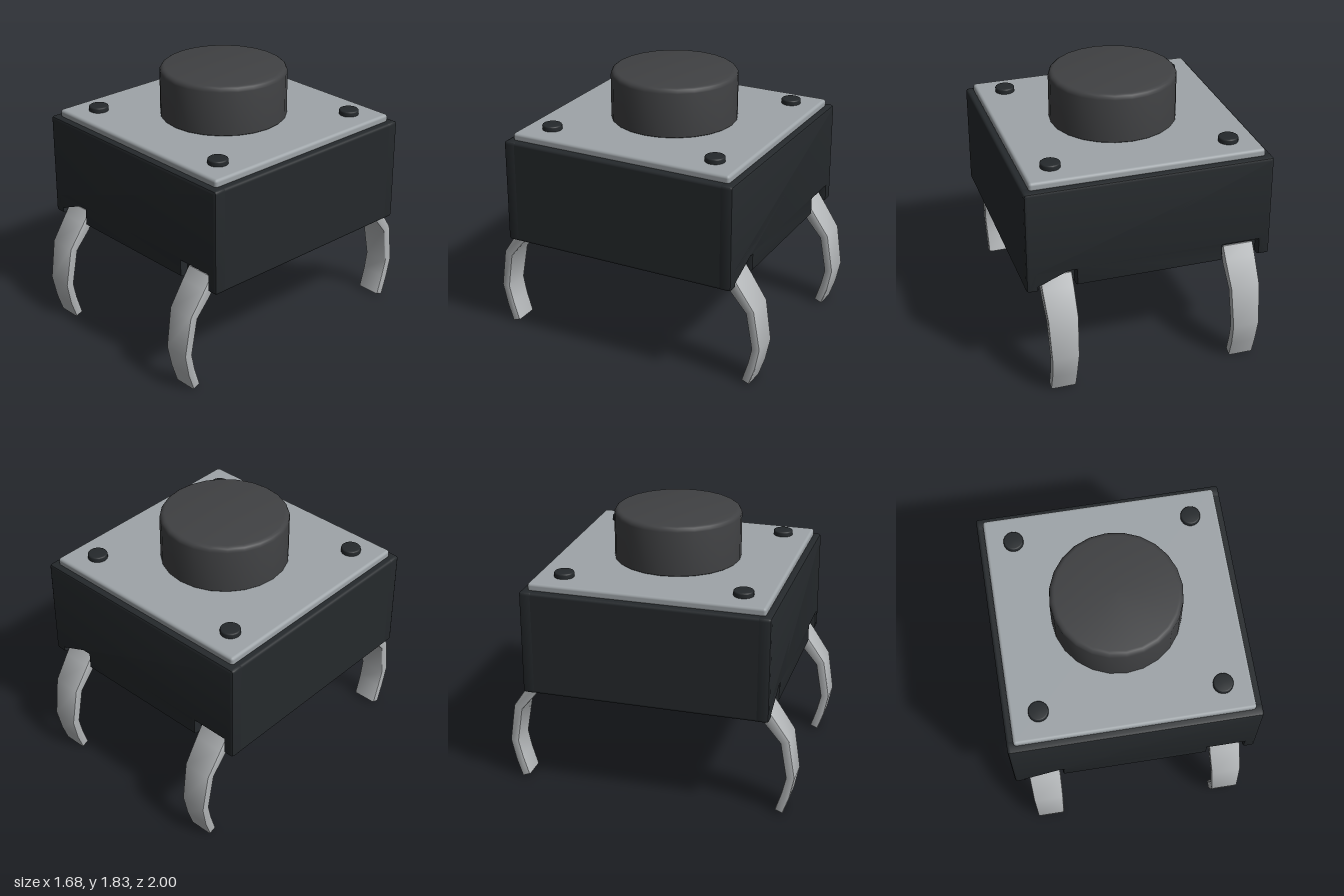
import * as THREE from 'three';
import { toCreasedNormals } from 'three/addons/utils/BufferGeometryUtils.js';
import { RoundedBoxGeometry } from 'three/addons/geometries/RoundedBoxGeometry.js';

const paint = (color) => new THREE.MeshStandardMaterial({ color });
const points = (list) => list.map(([x, y]) => new THREE.Vector2(x, y));

function add(parent, name, geometry, material, x = 0, y = 0, z = 0) {
  const mesh = new THREE.Mesh(geometry, material);
  mesh.name = name;
  mesh.position.set(x, y, z);
  parent.add(mesh);
  return mesh;
}

// Extrusion centred on its depth, bevelled without growing the outline
function bevelled(shape, depth, bevel, steps = 2) {
  const geometry = new THREE.ExtrudeGeometry(shape, {
    depth: depth - 2 * bevel, bevelThickness: bevel, bevelSize: bevel,
    bevelOffset: -bevel, bevelSegments: steps, curveSegments: 4,
  });
  return geometry.translate(0, 0, bevel - depth / 2);
}

// Front wall of the housing, with a notch above each leg
function wallGeometry() {
  const w = 0.84, lo = 0.72, hi = 1.44, r = 0.02, top = 0.835, a = 0.505, b = 0.76;
  const s = new THREE.Shape();
  s.moveTo(-w + r, lo);
  for (const [x0, x1] of [[-b, -a], [a, b]]) {
    s.lineTo(x0, lo);
    s.lineTo(x0, top);
    s.lineTo(x1, top);
    s.lineTo(x1, lo);
  }
  s.lineTo(w - r, lo);
  s.quadraticCurveTo(w, lo, w, lo + r);
  s.lineTo(w, hi - r);
  s.quadraticCurveTo(w, hi, w - r, hi);
  s.lineTo(-w + r, hi);
  s.quadraticCurveTo(-w, hi, -w, hi - r);
  s.lineTo(-w, lo + r);
  s.quadraticCurveTo(-w, lo, -w + r, lo);
  return toCreasedNormals(bevelled(s, 0.1, 0.02), 0.6);
}

// Bent strip drawn in side view, tapering towards its foot
function legGeometry() {
  const side = new THREE.Shape(points([
    [0.7, 0.8], [0.7, 0.74], [0.755, 0.735], [0.79, 0.66], [0.898, 0.53],
    [0.94, 0.275], [0.914, 0.16], [0.871, 0.022],
    [0.925, 0], [0.968, 0.125], [1, 0.28], [0.957, 0.555], [0.845, 0.72], [0.79, 0.8],
  ]));
  const geometry = bevelled(side, 0.216, 0.012).rotateY(-Math.PI / 2);
  const p = geometry.attributes.position;
  for (let i = 0; i < p.count; i++) {
    const t = THREE.MathUtils.clamp((p.getY(i) - 0.12) / 0.6, 0, 1);
    p.setX(i, p.getX(i) * (0.81 + 0.19 * t));
  }
  return toCreasedNormals(geometry, 0.75);
}

// Turned disc with a softened top rim
function discGeometry(radius, height, rim, sides) {
  const profile = [[0, 0], [radius - rim * 0.4, 0], [radius, rim * 0.4]];
  for (let i = 0; i <= 4; i++) {
    const a = (i / 4) * Math.PI / 2;
    profile.push([radius - rim + rim * Math.cos(a), height - rim + rim * Math.sin(a)]);
  }
  profile.push([0, height]);
  return toCreasedNormals(new THREE.LatheGeometry(points(profile), sides), 0.6);
}

export function createModel() {
  const model = new THREE.Group();
  model.name = 'pushButtonSwitch';
  const black = paint(0x25292c);
  const buttonGrey = paint(0x404143);
  const plateGrey = paint(0x9ea4a8);
  const metal = paint(0xb4b7b9);

  // Housing core, cover plate and button
  add(model, 'housingCore', new RoundedBoxGeometry(1.68, 0.72, 1.56, 3, 0.02), black, 0, 1.08, 0);
  add(model, 'coverPlate', new RoundedBoxGeometry(1.59, 0.06, 1.59, 2, 0.02), plateGrey, 0, 1.46, 0);
  add(model, 'button', discGeometry(0.433, 0.35, 0.035, 24), buttonGrey, 0, 1.48, 0);

  // Rivets in the plate corners
  const rivet = discGeometry(0.067, 0.05, 0.01, 20);
  for (const x of [-0.605, 0.605]) {
    for (const z of [-0.605, 0.605]) add(model, 'rivet', rivet, black, x, 1.475, z);
  }

  // Notched wall and pair of legs, on the front and back
  const wall = wallGeometry(), leg = legGeometry();
  for (const end of ['front', 'back']) {
    const group = new THREE.Group();
    group.name = end + 'End';
    group.rotation.y = end === 'front' ? 0 : Math.PI;
    add(group, end + 'Wall', wall, black, 0, 0, 0.79);
    for (const x of [-0.632, 0.632]) add(group, end + 'Leg', leg, metal, x);
    model.add(group);
  }
  return model;
}
